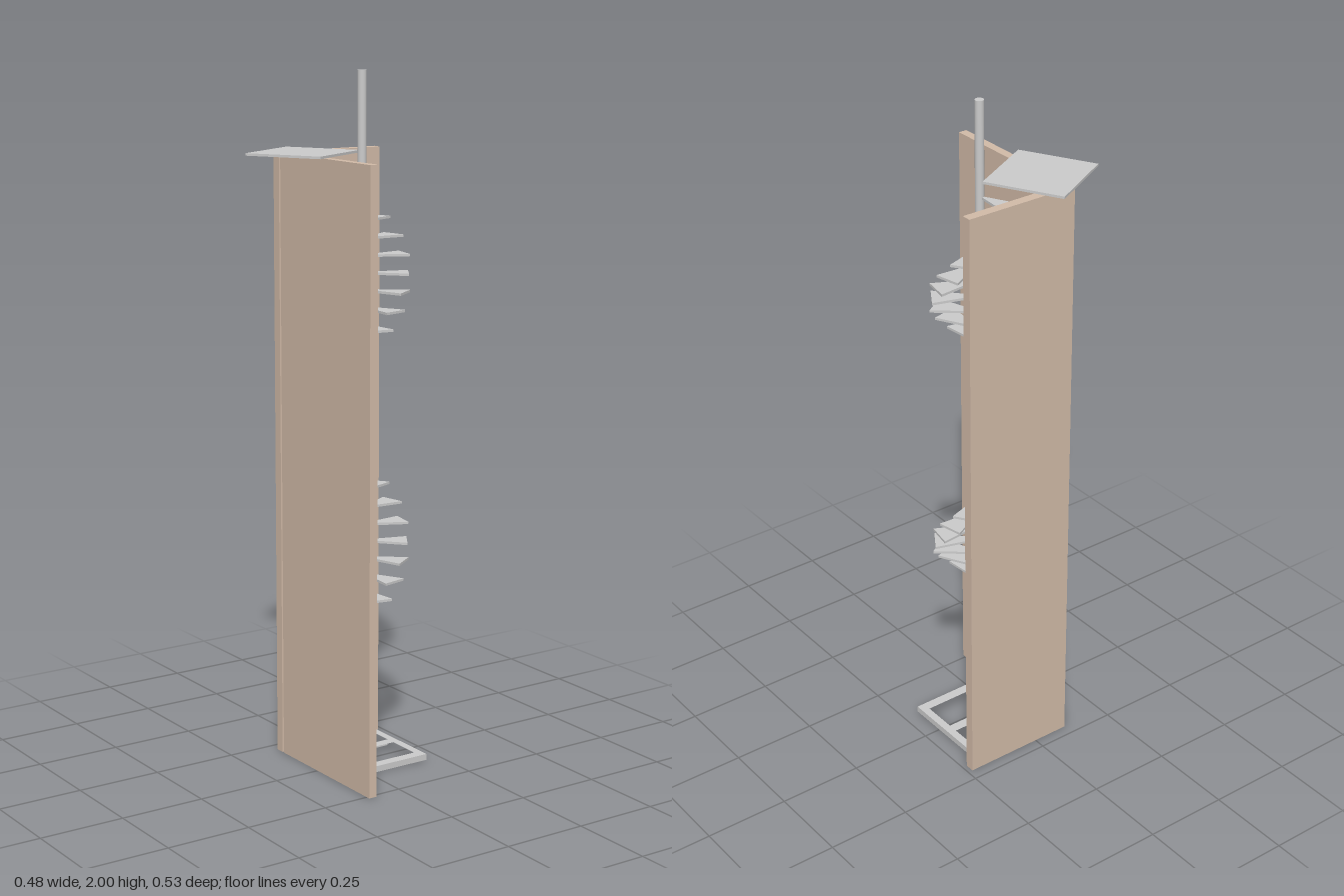
import * as THREE from 'three';

export function createModel() {
  const model = new THREE.Group();
  model.name = 'spiralStaircase';
  const metal = new THREE.MeshStandardMaterial({ color: 0xcccccc });
  const wood = new THREE.MeshStandardMaterial({ color: 0xd2bba8 });
  const poleX = 0.071, poleZ = -0.04;
  const rad = THREE.MathUtils.degToRad;

  function add(name, geometry, material, x = 0, y = 0, z = 0) {
    const mesh = new THREE.Mesh(geometry, material);
    mesh.name = name;
    mesh.position.set(x, y, z);
    model.add(mesh);
    return mesh;
  }

  // box given by its minimum and maximum corners
  function slab(name, material, [x0, y0, z0], [x1, y1, z1]) {
    return add(name, new THREE.BoxGeometry(x1 - x0, y1 - y0, z1 - z0), material,
      (x0 + x1) / 2, (y0 + y1) / 2, (z0 + z1) / 2);
  }

  // two walls, with a small gap at the corner
  slab('backWall', wood, [-0.11, 0, -0.215], [0.235, 1.77, -0.187]);
  slab('sideWall', wood, [-0.11, 0, -0.18], [-0.085, 1.77, 0.262]);

  // base frame with two openings, leaving a cross bar under the pole
  const frame = new THREE.Shape();
  const rect = (path, x0, z0, x1, z1) => path
    .moveTo(x0, -z0).lineTo(x1, -z0).lineTo(x1, -z1).lineTo(x0, -z1).closePath();
  rect(frame, -0.085, -0.187, 0.2, 0.11);
  for (const [z0, z1] of [[-0.167, -0.055], [-0.025, 0.08]]) {
    const opening = new THREE.Path();
    rect(opening, -0.06, z0, 0.177, z1);
    frame.holes.push(opening);
  }
  const frameGeometry = new THREE.ExtrudeGeometry(frame, { depth: 0.018, bevelEnabled: false });
  frameGeometry.rotateX(-Math.PI / 2);
  add('baseFrame', frameGeometry, metal, 0, 0.002, 0);

  // pole with a stepped foot
  function disc(name, radius, y0, y1) {
    add(name, new THREE.CylinderGeometry(radius, radius, y1 - y0, 32), metal,
      poleX, (y0 + y1) / 2, poleZ);
  }
  disc('pole', 0.0125, 0.01, 2);
  disc('poleFlange', 0.029, 0.02, 0.042);
  disc('poleCollar', 0.018, 0.042, 0.053);

  // wedge treads, sixteen to a turn, overlapping in plan
  const radius = 0.137, half = rad(16);
  const wedge = new THREE.Shape();
  wedge.moveTo(0, 0);
  wedge.lineTo(radius * Math.cos(half), -radius * Math.sin(half));
  wedge.lineTo(radius * Math.cos(half), radius * Math.sin(half));
  wedge.closePath();
  const treadGeometry = new THREE.ExtrudeGeometry(wedge, { depth: 0.007, bevelEnabled: false });
  treadGeometry.rotateX(-Math.PI / 2);
  for (let i = 0; i < 35; i++) {
    const tread = add('tread', treadGeometry, metal, poleX, 0.063 + i * 0.0488, poleZ);
    tread.rotation.y = rad(57 + i * 22.5);
  }

  // square landing at the top
  const landing = add('landing', new THREE.BoxGeometry(0.233, 0.007, 0.233), metal,
    -0.083, 1.774, -0.105);
  landing.rotation.y = rad(28.6);

  return model;
}
